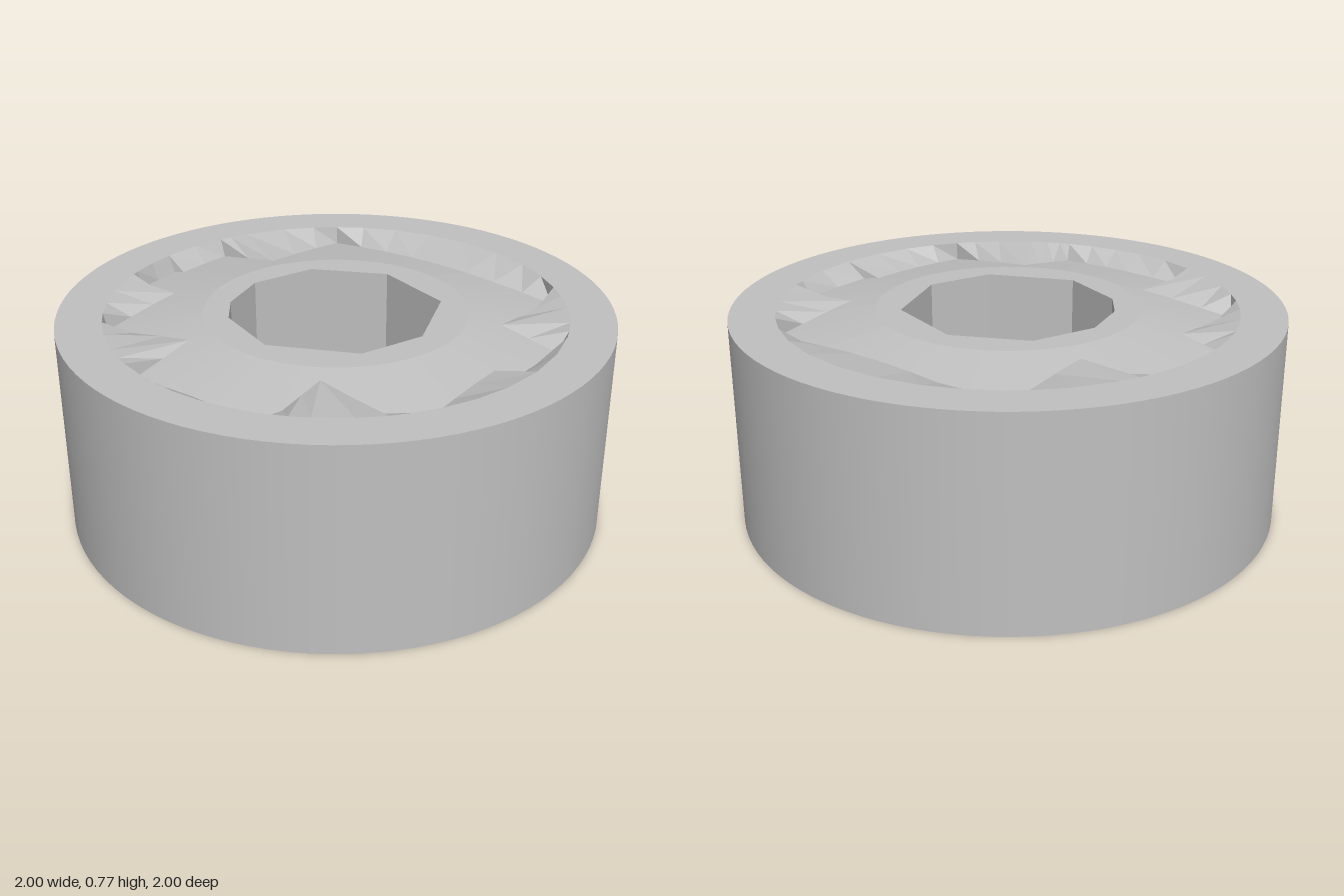
import * as THREE from 'three';

const H = 0.77, COLLAR = 0.48, RIM = 0.835;

// Bore corners and the stepped outline of the recess, as [x, z] in angular order
const BORE = [[0, -0.39], [0.24, -0.31], [0.38, -0.05], [0.29, 0.26], [0, 0.38],
  [-0.24, 0.3], [-0.39, 0], [-0.3, -0.25], [-0.19, -0.34]];
const STEPS = [[0.65, -0.51], [0.65, 0.52], [0.29, 0.52], [0.28, 0.75], [0, 0.75],
  [-0.01, 0.68], [-0.48, 0.68], [-0.46, 0.3], [-0.75, 0.3], [-0.75, 0], [-0.76, -0.25],
  [-0.5, -0.25], [-0.55, -0.61], [-0.21, -0.61], [-0.2, -0.8], [-0.01, -0.81],
  [0, -0.77], [0.24, -0.77], [0.24, -0.51]];

// Splits the long edges of the outline so that the round edges stay round
function refine(points) {
  const out = [];
  points.forEach((a, i) => {
    const b = points[(i + 1) % points.length];
    const n = Math.max(1, Math.ceil(Math.hypot(b[0] - a[0], b[1] - a[1]) / 0.14));
    for (let k = 0; k < n; k++) {
      out.push([a[0] + (b[0] - a[0]) * k / n, a[1] + (b[1] - a[1]) * k / n]);
    }
  });
  return out;
}

const atRadius = (p, r) => {
  const l = Math.hypot(p[0], p[1]);
  return [p[0] * r / l, p[1] * r / l];
};

const toPath = (points) => points.map(([x, z]) => new THREE.Vector2(x, -z));

// Flat face between two closed outlines, facing up
function flatFace(outer, inner) {
  const shape = new THREE.Shape(toPath(outer));
  shape.holes.push(new THREE.Path(toPath(inner)));
  return new THREE.ShapeGeometry(shape).rotateX(-Math.PI / 2);
}

// Faceted strip joining loops of 3D points
function strip(loops) {
  const pos = [];
  for (let j = 0; j < loops.length - 1; j++) {
    const a = loops[j], b = loops[j + 1];
    for (let i = 0; i < a.length; i++) {
      const k = (i + 1) % a.length;
      pos.push(...a[i], ...a[k], ...b[i], ...a[k], ...b[k], ...b[i]);
    }
  }
  const g = new THREE.BufferGeometry();
  g.setAttribute('position', new THREE.Float32BufferAttribute(pos, 3));
  g.computeVertexNormals();
  return g;
}

export function createModel() {
  const model = new THREE.Group();
  model.name = 'bearing';
  const steel = new THREE.MeshStandardMaterial({ color: 0xc0c0c0 });
  steel.name = 'steel grey';
  const add = (parent, name, geometry) => {
    const mesh = new THREE.Mesh(geometry, steel);
    mesh.name = name;
    parent.add(mesh);
    return mesh;
  };

  // Outer wall
  add(model, 'outerWall', new THREE.CylinderGeometry(1, 1, H, 96, 1, true).translate(0, H / 2, 0));

  const outline = refine(STEPS);
  const collar = outline.map((p) => atRadius(p, COLLAR));
  const rim = outline.map((p) => atRadius(p, RIM));
  const circle = Array.from({ length: 96 }, (_, i) => {
    const a = i / 96 * Math.PI * 2;
    return [Math.sin(a), Math.cos(a)];
  });

  // One end: flat race, stepped recess and inner collar
  function addEnd(name, collarDepth, slope) {
    const end = new THREE.Group();
    end.name = name;
    add(end, 'outerRace', flatFace(circle, rim));
    add(end, 'innerCollar', flatFace(collar, BORE)).position.y = -collarDepth;
    const at = (points, depth) => points.map((p) => [p[0], -depth(p), p[1]]);
    add(end, 'steppedRecess', strip([
      at(rim, () => 0),
      at(outline, (p) => collarDepth + slope * (Math.hypot(p[0], p[1]) - COLLAR)),
      at(collar, () => collarDepth),
    ].reverse()).scale(1, 1, 1));
    model.add(end);
    return end;
  }
  addEnd('topEnd', 0.005, 0.18).position.y = H;
  addEnd('bottomEnd', 0.02, 0.2).scale.y = -1;

  // Faceted bore through the middle, facing inward
  const level = (y) => BORE.map(([x, z]) => [x, y, z]);
  add(model, 'bore', strip([level(0.02), level(H - 0.005)]));
  return model;
}
